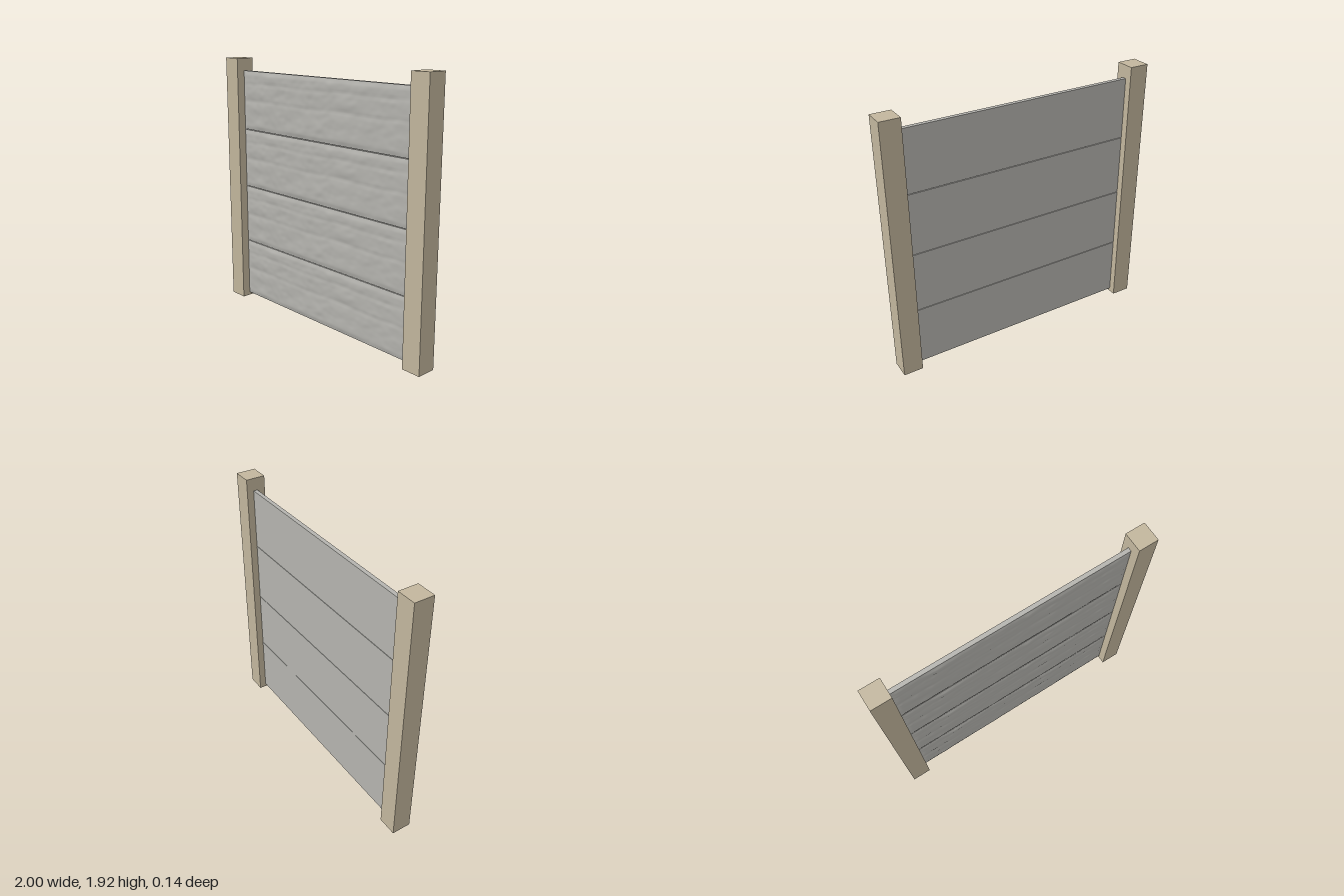
import * as THREE from 'three';

const postMaterial = new THREE.MeshStandardMaterial({ color: 0xc2b69d });
postMaterial.name = 'sandy concrete';
const panelMaterial = new THREE.MeshStandardMaterial({ color: 0xb5b4af });
panelMaterial.name = 'grey concrete';

// Seeded smooth value noise, 0..1
function hash(i, j) {
  let h = Math.imul(i, 374761393) + Math.imul(j, 668265263) + 1013;
  h = Math.imul(h ^ (h >>> 13), 1274126177);
  return ((h ^ (h >>> 16)) >>> 0) / 4294967295;
}
function noise(x, y) {
  const i = Math.floor(x), j = Math.floor(y);
  const s = THREE.MathUtils.smoothstep(x - i, 0, 1);
  const t = THREE.MathUtils.smoothstep(y - j, 0, 1);
  const { lerp } = THREE.MathUtils;
  return lerp(lerp(hash(i, j), hash(i + 1, j), s), lerp(hash(i, j + 1), hash(i + 1, j + 1), s), t);
}

const POST = { width: 0.143, height: 1.92, depth: 0.143 };
const PANEL = { width: 1.714, height: 0.447, pitch: 0.4515, bottom: 0.025, back: -0.02, front: 0.01 };

// Slab with a flat back and a split-stone relief on the front
function panelGeometry() {
  const { width, height, back, front } = PANEL;
  const depth = front - back;
  const geometry = new THREE.BoxGeometry(width, height, depth, 110, 36, 1);
  const p = geometry.attributes.position;
  const n = geometry.attributes.normal;
  for (let i = 0; i < p.count; i++) {
    if (n.getZ(i) < 0.5) continue;
    const x = p.getX(i), y = p.getY(i);
    // Relief fades to nothing at the panel border
    const edge = Math.min(width / 2 - Math.abs(x), height / 2 - Math.abs(y));
    const fade = THREE.MathUtils.smoothstep(edge, 0, 0.035);
    // Two shallow horizontal grooves suggest stone courses
    const wander = 0.012 * (noise(x * 5 + 40, 3) - 0.5);
    const groove = (c) => Math.exp(-(((y - c + wander) / 0.014) ** 2));
    const rough = 0.0055 * noise(x * 9 + 20, y * 17 + 20)
      + 0.0028 * noise((x + y) * 22 + 90, (y - x * 0.4) * 30 + 90);
    const relief = 0.0035 + rough - 0.003 * (groove(0.0) + groove(0.13));
    p.setZ(i, depth / 2 + fade * relief);
  }
  geometry.computeVertexNormals();
  geometry.translate(0, height / 2, (front + back) / 2);
  return geometry;
}

export function createModel() {
  const group = new THREE.Group();
  group.name = 'concretePanelFence';

  // Square posts at both ends
  const postGeometry = new THREE.BoxGeometry(POST.width, POST.height, POST.depth);
  for (const [name, side] of [['leftPost', 1], ['rightPost', -1]]) {
    const post = new THREE.Mesh(postGeometry, postMaterial);
    post.name = name;
    post.position.set(side * (1 - POST.width / 2), POST.height / 2, 0);
    group.add(post);
  }

  // Four stacked panels, with a recessed tongue closing each joint
  const slab = panelGeometry();
  const tongue = new THREE.BoxGeometry(PANEL.width, 0.02, 0.012);
  for (let i = 0; i < 4; i++) {
    const y = PANEL.bottom + i * PANEL.pitch;
    const panel = new THREE.Mesh(slab, panelMaterial);
    panel.name = `panel${i + 1}`;
    panel.position.y = y;
    group.add(panel);
    if (i > 0) {
      const joint = new THREE.Mesh(tongue, panelMaterial);
      joint.name = `jointTongue${i}`;
      joint.position.set(0, y - (PANEL.pitch - PANEL.height) / 2, -0.005);
      group.add(joint);
    }
  }
  return group;
}
